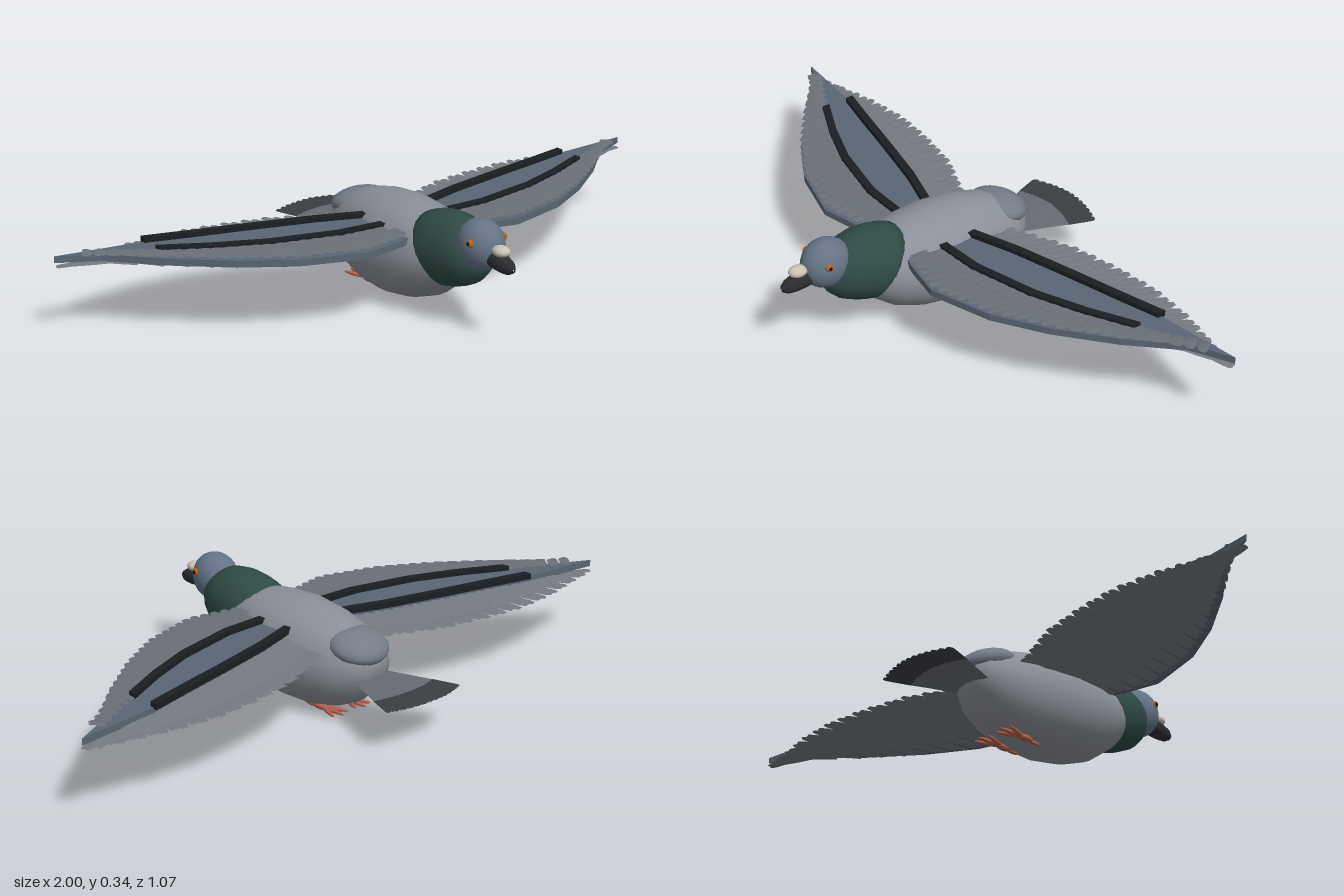
import * as THREE from 'three';
import { mergeGeometries } from 'three/addons/utils/BufferGeometryUtils.js';

const mat = (color, extra = {}) => new THREE.MeshStandardMaterial({ color, ...extra });
const thin = { side: THREE.DoubleSide };
const M = {
  body: mat(0x8b8f97), rump: mat(0x747c88), neck: mat(0x2f4a45), head: mat(0x647486),
  beak: mat(0x2c2c30), cere: mat(0xc9c2b4), iris: mat(0xb8661c), pupil: mat(0x0c0c0c),
  feather: mat(0x747a80, thin), covert: mat(0x6a7077, thin), plate: mat(0x5a6673),
  bar: mat(0x1b1f22), tail: mat(0x666b71, thin), tailBand: mat(0x3a3e43, thin), foot: mat(0xb4604e),
};

function add(parent, name, geometry, material, x = 0, y = 0, z = 0) {
  const mesh = new THREE.Mesh(geometry, material);
  mesh.name = name;
  mesh.position.set(x, y, z);
  parent.add(mesh);
  return mesh;
}

function ball(parent, name, material, p, r) {
  const mesh = add(parent, name, new THREE.SphereGeometry(1, 24, 16), material, ...p);
  mesh.scale.set(...r);
  return mesh;
}

// Closed loft of ellipses along z; each section is [z, top, bottom, halfWidth]
function loft(sections, sides = 28) {
  const pos = [], index = [];
  sections.forEach(([z, top, bottom, w]) => {
    for (let j = 0; j < sides; j++) {
      const a = (j / sides) * Math.PI * 2;
      pos.push(Math.cos(a) * w, (top + bottom) / 2 + Math.sin(a) * (top - bottom) / 2, z);
    }
  });
  for (let i = 0; i < sections.length - 1; i++) {
    for (let j = 0; j < sides; j++) {
      const a = i * sides + j, b = i * sides + (j + 1) % sides;
      index.push(a, b, a + sides, b, b + sides, a + sides);
    }
  }
  const g = new THREE.BufferGeometry();
  g.setAttribute('position', new THREE.Float32BufferAttribute(pos, 3));
  g.setIndex(index);
  g.computeVertexNormals();
  return g;
}

// Ridged blade from root to tip, both [x, y, z]
function feather(root, tip, width, profile = [0.5, 0.85, 1, 1, 0.9, 0.5]) {
  const n = profile.length - 1;
  const g = new THREE.PlaneGeometry(1, 1, 2, n);
  const a = new THREE.Vector3(...root), b = new THREE.Vector3(...tip);
  const side = new THREE.Vector3(a.z - b.z, 0, b.x - a.x).normalize();
  const p = g.attributes.position, v = new THREE.Vector3();
  for (let i = 0; i < p.count; i++) {
    const u = p.getX(i), row = Math.floor(i / 3);
    // stations crowd toward the rounded tip
    v.lerpVectors(a, b, 1 - Math.pow(1 - row / n, 1.8)).addScaledVector(side, u * width * profile[row]);
    p.setXYZ(i, v.x, v.y + (u === 0 ? 0.003 : 0), v.z);
  }
  g.computeVertexNormals();
  return g;
}

// Wing lines as z over x
const LEAD = [[0.06, 0.16], [0.15, 0.185], [0.26, 0.207], [0.45, 0.15], [0.6, 0.06], [0.75, -0.06], [0.88, -0.19], [1, -0.25]];
const FRONT_BAR = [[0.06, 0.05], [0.1, 0.052], [0.25, 0.047], [0.45, 0], [0.6, -0.06], [0.74, -0.13], [1, -0.25]];
const REAR_BAR = [[0.06, -0.035], [0.1, -0.05], [0.25, -0.1], [0.45, -0.15], [0.6, -0.185], [0.74, -0.22], [1, -0.25]];
const TRAIL = [[0.06, -0.18], [0.2, -0.24], [0.3, -0.285], [0.45, -0.315], [0.6, -0.33], [0.75, -0.315], [0.9, -0.278], [1, -0.25]];
function at(line, x) {
  let i = 0;
  while (i < line.length - 2 && x > line[i + 1][0]) i++;
  const [[x0, z0], [x1, z1]] = [line[i], line[i + 1]];
  return z0 + (z1 - z0) * (x - x0) / (x1 - x0);
}
const between = (x, f) => THREE.MathUtils.lerp(at(LEAD, x), at(FRONT_BAR, x), f);

// Flat slab from an outline of [x, z] points
function slab(points, y, thickness) {
  const shape = new THREE.Shape(points.map(([x, z]) => new THREE.Vector2(x, -z)));
  return new THREE.ExtrudeGeometry(shape, { depth: thickness, bevelEnabled: false })
    .rotateX(-Math.PI / 2).translate(0, y, 0);
}

function buildWing() {
  const wing = new THREE.Group();
  add(wing, 'wingPlate', slab([...LEAD, ...REAR_BAR.slice(0, -1).reverse()], 0.222, 0.02), M.plate);

  // Flight feathers run under the plate to the scalloped trailing edge
  const flight = [], n = 30;
  for (let i = 0; i < n; i++) {
    const t = i / (n - 1);
    const xt = 0.09 + 0.905 * t, xr = 0.08 + 0.8 * t;
    const y = 0.206 + (i % 2) * 0.003;
    flight.push(feather([xr, y + 0.006, at(LEAD, xr) - 0.03], [xt, y, at(TRAIL, xt)], 0.044 - 0.012 * t));
  }
  add(wing, 'flightFeathers', mergeGeometries(flight), M.feather);

  // Shorter feathers lie over the flight feathers behind the rear bar
  const second = [];
  for (let i = 0; i < 24; i++) {
    const xr = 0.09 + 0.031 * i, xt = xr + 0.02 + 0.003 * i;
    const z = THREE.MathUtils.lerp(at(REAR_BAR, xt), at(TRAIL, xt), 0.62);
    second.push(feather([xr, 0.228, at(REAR_BAR, xr) + 0.02], [xt, 0.215, z], 0.042));
  }
  add(wing, 'secondaryCoverts', mergeGeometries(second), M.feather);

  // Two overlapping rows of coverts on the leading part
  [[0.3, 1, 0.244], [0.02, 0.55, 0.25]].forEach(([f0, f1, y], row) => {
    const list = [];
    for (let i = 0; i < 26; i++) {
      const xr = 0.08 + 0.033 * i, xt = Math.min(xr + 0.025, 0.97);
      list.push(feather([xr, y, between(xr, f0)], [xt, y + 0.002, between(xt, f1)], 0.046));
    }
    add(wing, row ? 'smallCoverts' : 'largeCoverts', mergeGeometries(list), M.covert);
  });

  // Dark bars
  [FRONT_BAR, REAR_BAR].forEach((line) => {
    const pts = line.slice(1, -1);
    const edge = (d) => pts.map(([x, z]) => [x, z + d]);
    add(wing, 'wingBar', slab([...edge(0.013), ...edge(-0.013).reverse()], 0.238, 0.018), M.bar);
  });
  return wing;
}

function buildTail(parent) {
  const blades = [], bands = [], n = 13;
  for (let i = 0; i < n; i++) {
    const s = (i / (n - 1)) * 2 - 1;
    const y = 0.138 + 0.004 * (1 - Math.abs(s));
    const root = [s * 0.045, y + 0.003, -0.25], tip = [s * 0.135, y, -0.532 + 0.03 * s * s];
    const mid = root.map((v, k) => THREE.MathUtils.lerp(v, tip[k], 0.68));
    blades.push(feather(root, mid, 0.026, [0.6, 0.7, 0.8, 0.9, 1]));
    bands.push(feather(mid, tip, 0.027, [1, 1, 1, 0.95, 0.6]));
  }
  add(parent, 'tailFeathers', mergeGeometries(blades), M.tail);
  add(parent, 'tailBand', mergeGeometries(bands), M.tailBand);
}

function buildFoot() {
  const foot = new THREE.Group();
  ball(foot, 'ankle', M.foot, [0, 0.014, -0.125], [0.012, 0.01, 0.03]);
  [-1, 0, 1].forEach((k) => {
    const toe = ball(foot, 'toe', M.foot, [k * 0.014, 0.015, -0.178 + Math.abs(k) * 0.008], [0.007, 0.006, 0.045]);
    toe.rotation.y = -k * 0.35;
  });
  ball(foot, 'hindToe', M.foot, [0, 0.01, -0.09], [0.006, 0.006, 0.025]);
  return foot;
}

export function createModel() {
  const bird = new THREE.Group();
  bird.name = 'bird';

  // Trunk, tail end first
  add(bird, 'body', loft([
    [-0.308, 0.175, 0.17, 0.003], [-0.303, 0.205, 0.135, 0.045], [-0.285, 0.235, 0.095, 0.075],
    [-0.24, 0.258, 0.05, 0.105], [-0.18, 0.28, 0.022, 0.125], [-0.1, 0.3, 0.004, 0.142],
    [0, 0.31, 0.002, 0.15], [0.1, 0.304, 0.02, 0.143], [0.18, 0.293, 0.05, 0.122],
    [0.25, 0.27, 0.102, 0.092], [0.29, 0.24, 0.15, 0.05], [0.3, 0.2, 0.19, 0.004],
  ]), M.body);
  ball(bird, 'rump', M.rump, [0, 0.222, -0.235], [0.092, 0.044, 0.086]).rotation.x = -0.25;

  // Neck, lofted along an axis leaning up and forward
  const neck = add(bird, 'neck', loft([
    [-0.012, 0.09, -0.09, 0.085], [0, 0.114, -0.112, 0.104], [0.03, 0.11, -0.12, 0.104], [0.065, 0.101, -0.127, 0.1],
    [0.11, 0.082, -0.13, 0.092], [0.145, 0.058, -0.121, 0.078], [0.175, 0.03, -0.1, 0.058], [0.19, -0.03, -0.04, 0.004],
  ]), M.neck, 0, 0.2, 0.195);
  neck.rotation.x = -0.51;

  // Head, beak and eyes
  ball(bird, 'head', M.head, [0, 0.268, 0.383], [0.064, 0.075, 0.077]);
  add(bird, 'beak', loft([
    [0.42, 0.27, 0.225, 0.026], [0.46, 0.272, 0.217, 0.027], [0.49, 0.266, 0.215, 0.025],
    [0.515, 0.258, 0.217, 0.02], [0.53, 0.248, 0.225, 0.011], [0.534, 0.238, 0.234, 0.002],
  ], 16), M.beak);
  ball(bird, 'cere', M.cere, [0, 0.275, 0.477], [0.024, 0.016, 0.029]);
  [1, -1].forEach((s) => {
    ball(bird, 'eye', M.iris, [s * 0.057, 0.288, 0.409], [0.008, 0.012, 0.012]);
    ball(bird, 'pupil', M.pupil, [s * 0.063, 0.288, 0.409], [0.004, 0.006, 0.006]);
  });

  buildTail(bird);

  // Mirrored wings and feet
  [['left', 1], ['right', -1]].forEach(([name, s]) => {
    const wing = buildWing();
    wing.name = name + 'Wing';
    wing.scale.x = s;
    const foot = buildFoot();
    foot.name = name + 'Foot';
    foot.position.x = s * 0.045;
    bird.add(wing, foot);
  });
  return bird;
}
